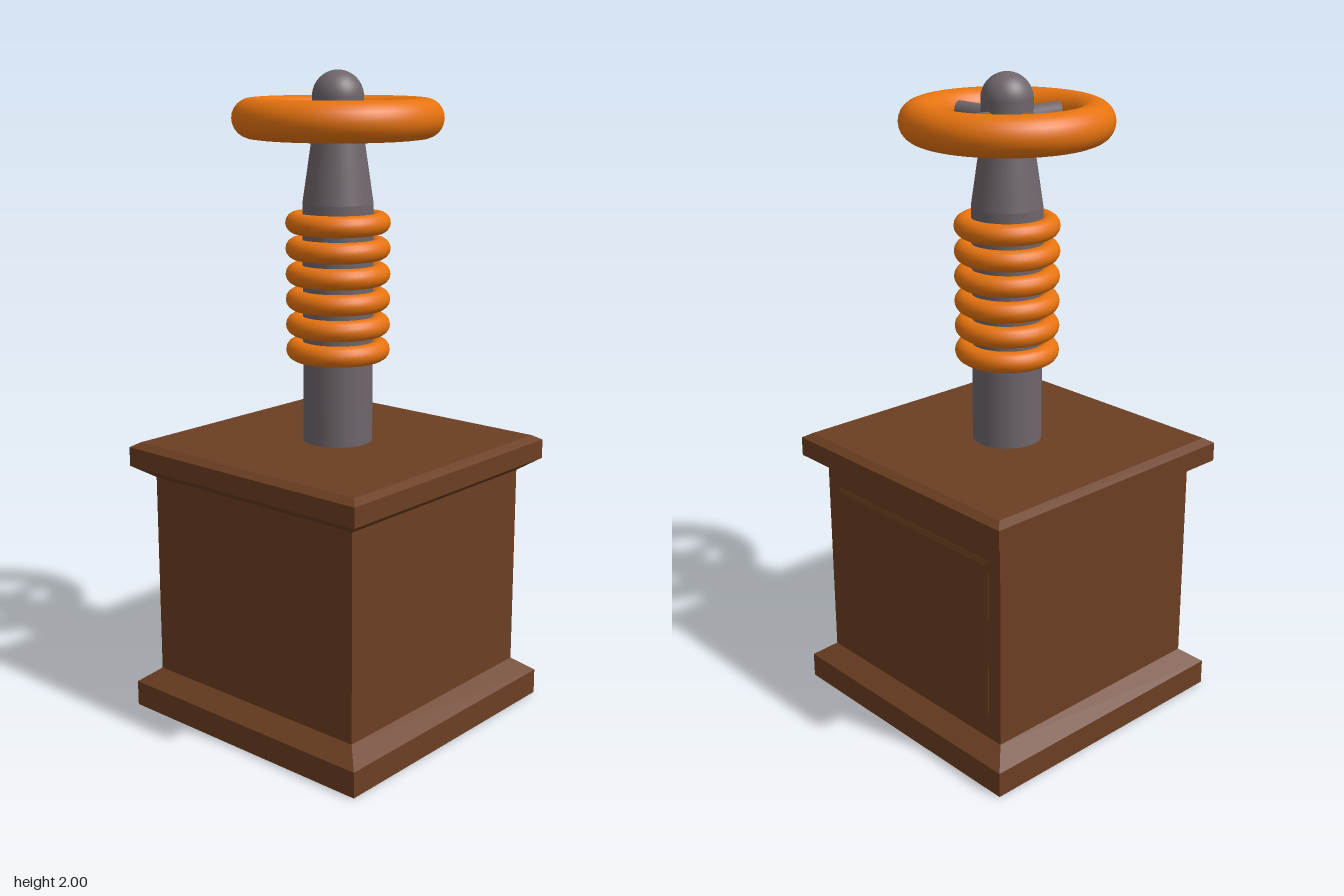
import * as THREE from 'three';

const mat = (color, flatShading = false) => new THREE.MeshStandardMaterial({ color, flatShading });
const points = (list) => list.map(([x, y]) => new THREE.Vector2(x, y));

export function createModel() {
  const model = new THREE.Group();
  const wood = mat(0x6b3e22, true);
  const orange = mat(0xe6730f);
  const metal = mat(0x6e656a);

  const add = (name, geometry, material, y = 0, parent = model) => {
    const mesh = new THREE.Mesh(geometry, material);
    mesh.name = name;
    mesh.position.y = y;
    parent.add(mesh);
    return mesh;
  };

  // Square pedestal: half-width profile swept through four sides
  const profile = points([
    [0, 0], [0.457, 0], [0.457, 0.08], [0.4, 0.125], [0.4, 0.765],
    [0.457, 0.803], [0.457, 0.863], [0.432, 0.878], [0, 0.878],
  ]);
  profile.forEach((p) => { p.x *= Math.SQRT2; });
  const pedestal = new THREE.LatheGeometry(profile, 4, Math.PI / 4).toNonIndexed();
  pedestal.computeVertexNormals();
  add('pedestal', pedestal, wood);

  // Thin bevelled panel on the back
  const w = 0.335, h = 0.25;
  const panelShape = new THREE.Shape(points([[-w, -h], [w, -h], [w, h], [-w, h]]));
  const panelGeometry = new THREE.ExtrudeGeometry(panelShape, {
    depth: 0.002, bevelSize: 0.015, bevelThickness: 0.004, bevelSegments: 1,
  });
  const panel = add('backPanel', panelGeometry, wood, 0.445);
  panel.rotation.y = Math.PI;
  panel.position.z = -0.399;

  // Shaft, tapered neck and domed cap
  add('shaft', new THREE.CylinderGeometry(0.107, 0.107, 0.745, 32), metal, 1.2375);
  add('neck', new THREE.CylinderGeometry(0.076, 0.107, 0.21, 32), metal, 1.715);
  add('hub', new THREE.CylinderGeometry(0.077, 0.076, 0.103, 32), metal, 1.8715);
  add('cap', new THREE.SphereGeometry(0.077, 32, 12, 0, Math.PI * 2, 0, Math.PI / 2), metal, 1.923);

  // Stack of rings round the shaft
  const coils = new THREE.Group();
  coils.name = 'coilRings';
  model.add(coils);
  const ring = new THREE.TorusGeometry(0.127, 0.032, 16, 48).rotateX(Math.PI / 2);
  for (let i = 0; i < 6; i++) add('coilRing', ring, orange, 1.165 + i * 0.0775, coils);

  // Handwheel with four spokes
  const wheel = new THREE.Group();
  wheel.name = 'handwheel';
  wheel.position.y = 1.861;
  model.add(wheel);
  add('rim', new THREE.TorusGeometry(0.256, 0.059, 24, 64).rotateX(Math.PI / 2), orange, 0, wheel);
  for (let i = 0; i < 4; i++) {
    const spoke = new THREE.CylinderGeometry(0.033, 0.033, 0.22, 20);
    spoke.rotateZ(Math.PI / 2).translate(0.11, 0, 0).rotateY(i * Math.PI / 2);
    add('spoke', spoke, metal, 0, wheel);
  }

  return model;
}
